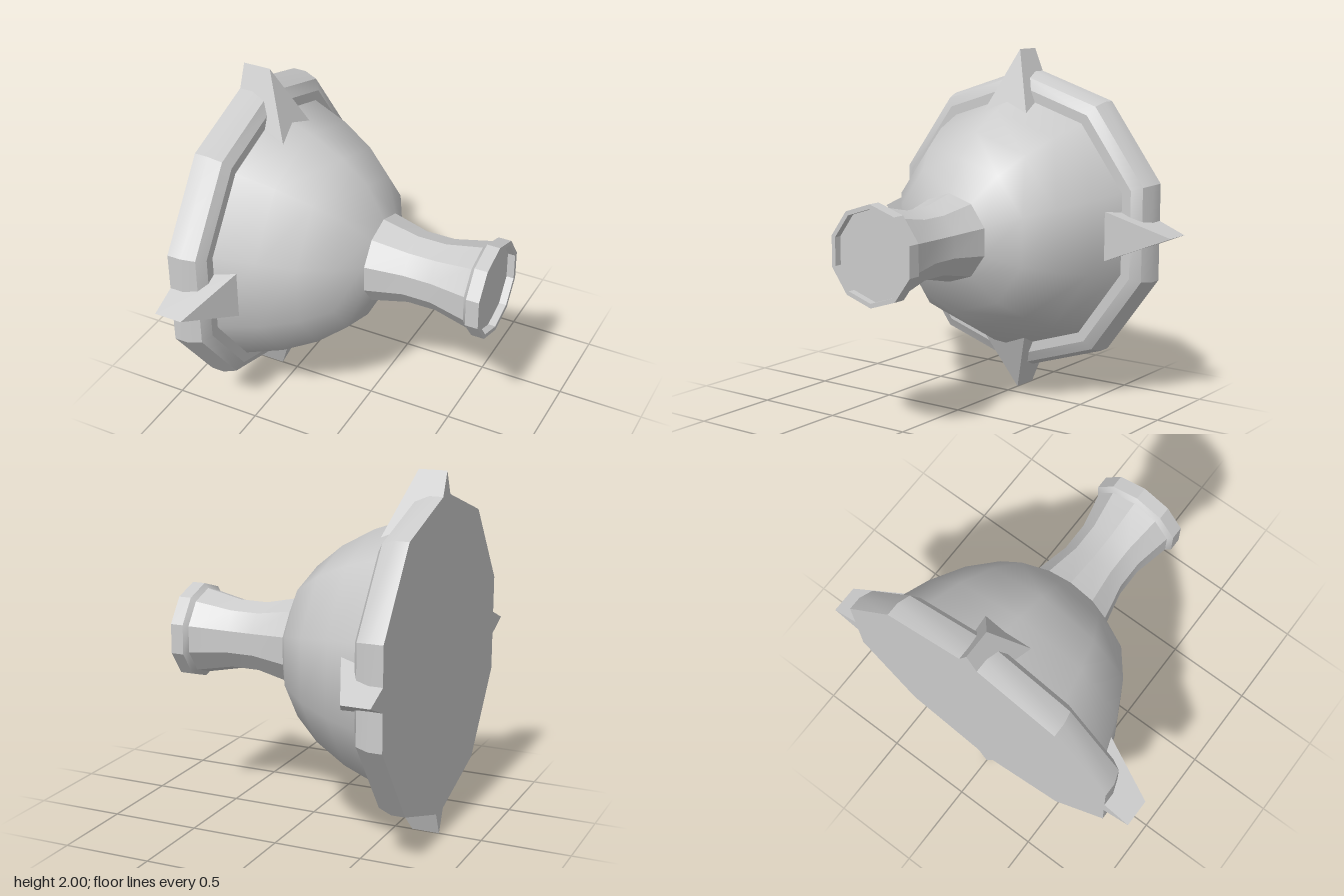
import * as THREE from 'three';
import { toCreasedNormals } from 'three/addons/utils/BufferGeometryUtils.js';

const SIDES = 10;
const AXIS_Y = 1;
const BACK = -0.757;

const material = new THREE.MeshStandardMaterial({ color: 0xcccccc });

// Ten-sided turned part lying along x; profile points are [x, radius].
function turned(name, profile, smooth = false) {
  const points = profile.map(([x, r]) => new THREE.Vector2(r, x));
  let geometry = new THREE.LatheGeometry(points, SIDES, Math.PI / 2);
  geometry.rotateZ(-Math.PI / 2);
  if (!smooth) geometry = toCreasedNormals(geometry, THREE.MathUtils.degToRad(28));
  const mesh = new THREE.Mesh(geometry, material);
  mesh.name = name;
  return mesh;
}

// Triangular wedge along x whose front end leans back towards its tip.
function spikeGeometry() {
  const shape = new THREE.Shape([
    new THREE.Vector2(-0.145, 0.65),
    new THREE.Vector2(0.145, 0.65),
    new THREE.Vector2(0, 1),
  ]);
  const geometry = new THREE.ExtrudeGeometry(shape, { depth: 1, bevelEnabled: false });
  geometry.rotateY(Math.PI / 2);
  const p = geometry.attributes.position;
  for (let i = 0; i < p.count; i++) {
    const front = p.getY(i) > 0.9 ? -0.6 : -0.45;
    p.setX(i, p.getX(i) > 0.5 ? front : BACK);
  }
  geometry.computeVertexNormals();
  return geometry;
}

export function createModel() {
  const model = new THREE.Group();
  model.name = 'doorKnob';

  const body = new THREE.Group();
  body.name = 'body';
  body.position.y = AXIS_Y;
  model.add(body);

  // Chamfered back plate
  body.add(turned('rim', [
    [BACK, 0], [BACK, 0.888], [-0.68, 0.888], [-0.605, 0.86], [-0.572, 0.8], [-0.572, 0.7],
  ]));

  // Smooth domed bowl
  body.add(turned('bowl', [
    [-0.58, 0.745], [-0.36, 0.665], [-0.17, 0.56], [-0.02, 0.433], [0.077, 0.247],
  ], true));

  // Waisted neck
  body.add(turned('neck', [
    [0.077, 0.247], [0.285, 0.2], [0.45, 0.2], [0.66, 0.245],
  ]));

  // Lip with a recessed end
  body.add(turned('lip', [
    [0.66, 0.245], [0.683, 0.272], [0.757, 0.272], [0.757, 0.247], [0.715, 0.247], [0.715, 0],
  ]));

  // Four spikes around the rim
  const spike = spikeGeometry();
  for (let i = 0; i < 4; i++) {
    const mesh = new THREE.Mesh(spike, material);
    mesh.name = `spike${i + 1}`;
    mesh.rotation.x = (i * Math.PI) / 2;
    body.add(mesh);
  }

  return model;
}
